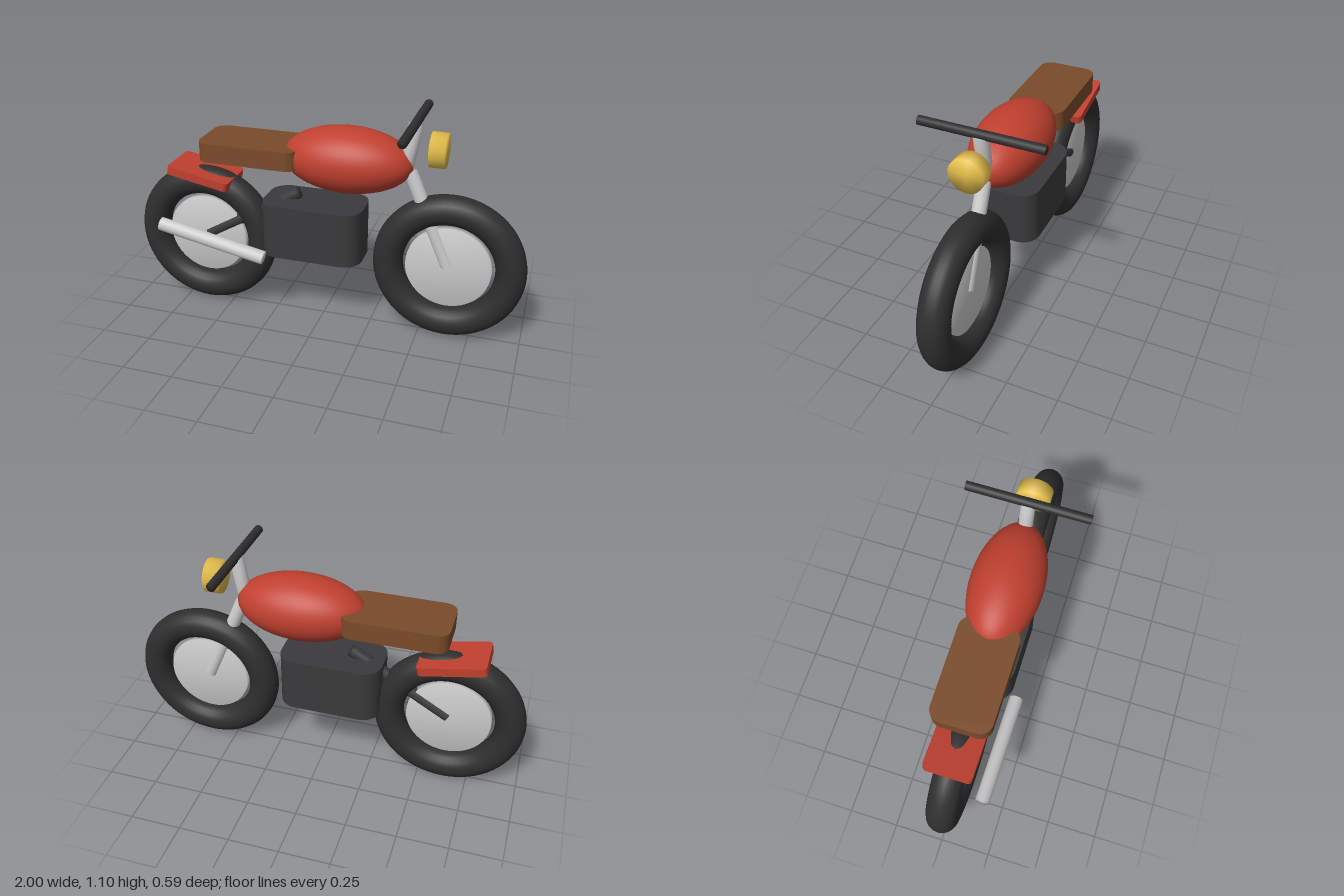
import * as THREE from 'three';
import { mergeVertices, toCreasedNormals } from 'three/addons/utils/BufferGeometryUtils.js';

const material = (color) => new THREE.MeshStandardMaterial({ color });

// Shares vertices so the shading rolls softly over the rims
function soften(geometry) {
  geometry.deleteAttribute('normal');
  geometry.deleteAttribute('uv');
  const merged = mergeVertices(geometry);
  merged.computeVertexNormals();
  return merged;
}

// Slab with rounded vertical corners, centred on its own origin
function roundedSlab(length, height, width, radius) {
  const x = length / 2, z = width / 2;
  const shape = new THREE.Shape();
  shape.absarc(x - radius, z - radius, radius, 0, Math.PI / 2);
  shape.absarc(radius - x, z - radius, radius, Math.PI / 2, Math.PI);
  shape.absarc(radius - x, radius - z, radius, Math.PI, Math.PI * 1.5);
  shape.absarc(x - radius, radius - z, radius, Math.PI * 1.5, Math.PI * 2);
  shape.closePath();
  const slab = new THREE.ExtrudeGeometry(shape, { depth: height, bevelEnabled: false, curveSegments: 6 });
  slab.translate(0, 0, -height / 2).rotateX(-Math.PI / 2);
  return toCreasedNormals(slab, 0.7);
}

export function createModel() {
  const group = new THREE.Group();
  const rubber = material(0x2e2e2e);
  const darkMetal = material(0x3a3a3c);
  const metal = material(0xcccccc);
  const red = material(0xc0402f);
  const leather = material(0x7a4b2a);
  const lampYellow = material(0xe6c04d);

  function add(name, geometry, mat, x = 0, y = 0, z = 0, parent = group) {
    const mesh = new THREE.Mesh(geometry, mat);
    mesh.name = name;
    mesh.position.set(x, y, z);
    parent.add(mesh);
    return mesh;
  }

  // Round bar between two points
  function bar(name, from, to, radius, mat) {
    const a = new THREE.Vector3(...from), b = new THREE.Vector3(...to);
    const direction = b.clone().sub(a);
    const geometry = soften(new THREE.CylinderGeometry(radius, radius, direction.length(), 16));
    const mesh = add(name, geometry, mat, ...a.add(b).multiplyScalar(0.5).toArray());
    mesh.quaternion.setFromUnitVectors(new THREE.Vector3(0, 1, 0), direction.normalize());
  }

  // Wheels: a fat tyre around a separate disc
  const tyre = new THREE.TorusGeometry(0.298, 0.074, 20, 64);
  const disc = soften(new THREE.CylinderGeometry(0.208, 0.208, 0.04, 48).rotateX(Math.PI / 2));
  for (const [name, x] of [['rearWheel', -0.628], ['frontWheel', 0.628]]) {
    const wheel = new THREE.Group();
    wheel.name = name;
    wheel.position.set(x, 0.374, 0);
    add('tyre', tyre, rubber, 0, 0, 0, wheel);
    add('wheelDisc', disc, metal, 0, 0, 0, wheel);
    group.add(wheel);
  }

  // Body
  const tank = add('fuelTank', new THREE.SphereGeometry(1, 40, 28), red, 0.118, 0.868, 0);
  tank.scale.set(0.318, 0.16, 0.174);
  add('seat', roundedSlab(0.505, 0.095, 0.288, 0.06), leather, -0.353, 0.872, 0);
  add('engine', roundedSlab(0.506, 0.276, 0.28, 0.09), darkMetal, -0.043, 0.496, 0);
  const fender = add('rearFender', roundedSlab(0.325, 0.042, 0.232, 0.02), red, -0.628, 0.716, 0);
  fender.rotation.z = -0.19;

  // Bars and tubes
  bar('swingArm', [-0.623, 0.374, 0], [-0.13, 0.664, 0], 0.03, darkMetal);
  bar('frontFork', [0.622, 0.376, 0], [0.42, 0.843, 0], 0.034, metal);
  bar('handlebarRiser', [0.4, 0.86, 0], [0.438, 1.075, 0], 0.035, metal);
  bar('handlebar', [0.438, 1.082, -0.297], [0.438, 1.082, 0.297], 0.022, rubber);
  bar('exhaust', [-0.813, 0.471, 0.169], [-0.262, 0.363, 0.169], 0.035, metal);

  // Headlamp facing forward along x
  const lamp = new THREE.CylinderGeometry(0.083, 0.083, 0.075, 32).rotateZ(-Math.PI / 2);
  add('headlamp', soften(lamp), lampYellow, 0.55, 0.962, 0);

  return group;
}
